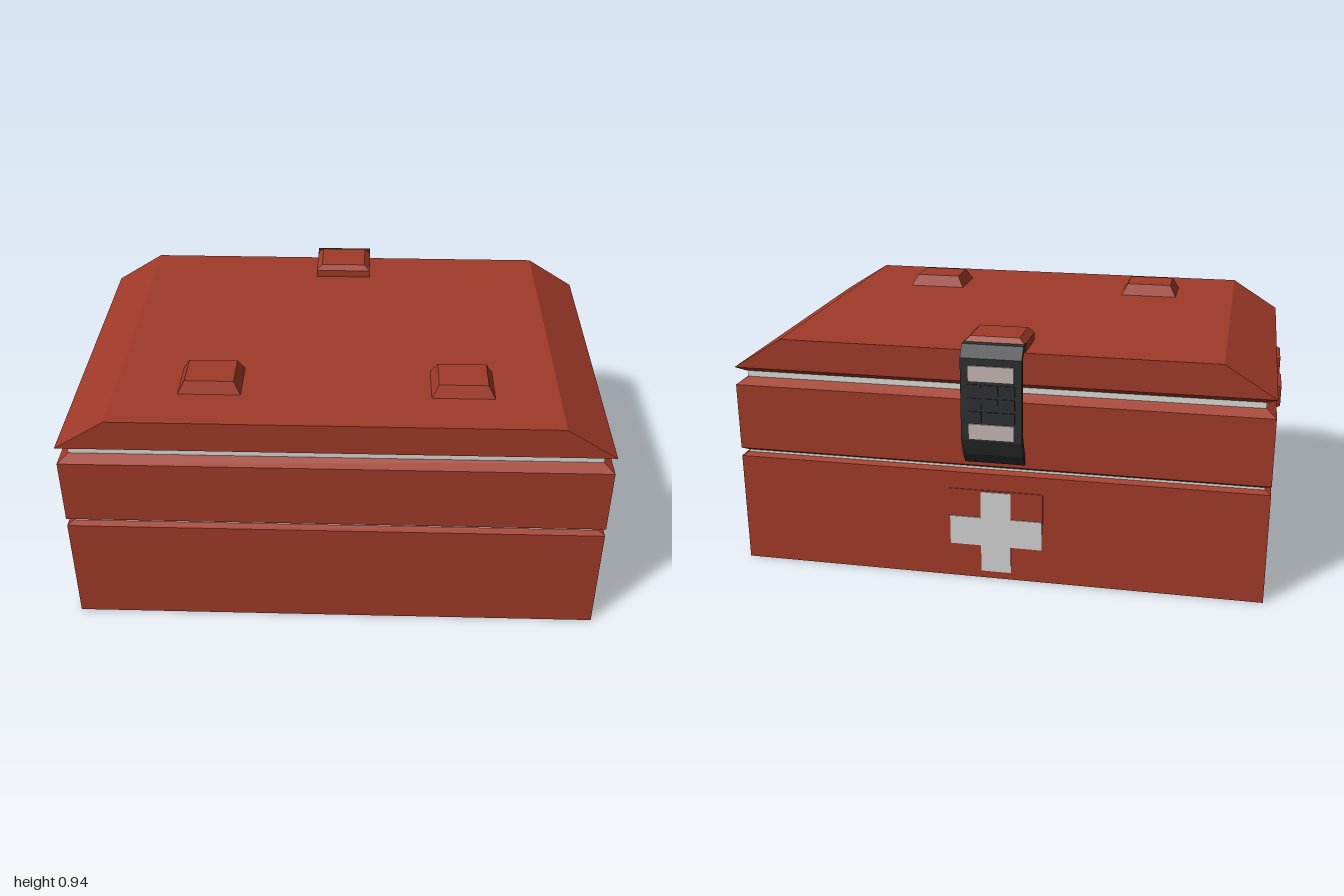
import * as THREE from 'three';

const mat = (name, color) => {
  const m = new THREE.MeshStandardMaterial({ color });
  m.name = name;
  return m;
};

// Closed solid from stacked rectangles: [y, x0, x1, z0, z1] from bottom to top
function stack(levels) {
  const rings = levels.map(([y, x0, x1, z0, z1]) => [[x0, y, z1], [x1, y, z1], [x1, y, z0], [x0, y, z0]]);
  const pos = [];
  const quad = (a, b, c, d) => pos.push(...a, ...b, ...c, ...a, ...c, ...d);
  for (let i = 0; i + 1 < rings.length; i++) {
    for (let k = 0; k < 4; k++) {
      const n = (k + 1) % 4;
      quad(rings[i][k], rings[i][n], rings[i + 1][n], rings[i + 1][k]);
    }
  }
  const [a, b, c, d] = rings[0];
  quad(d, c, b, a);
  quad(...rings[rings.length - 1]);
  const g = new THREE.BufferGeometry();
  g.setAttribute('position', new THREE.Float32BufferAttribute(pos, 3));
  g.computeVertexNormals();
  return g;
}

// One level of the case, inset from its outer walls
const X = 0.98, BACK = -0.6, FRONT = 0.665;
const level = (y, inset = 0, hx = X) => [y, -hx + inset, hx - inset, BACK + inset, FRONT - inset];

export function createModel() {
  const red = mat('caseRed', 0xa03a28);
  const white = mat('sealWhite', 0xdadad6);
  const crossWhite = mat('crossWhite', 0xd2d2d2);
  const black = mat('strapBlack', 0x2c2f30);
  const pink = mat('padGrey', 0xc4b6b4);

  const model = new THREE.Group();
  model.name = 'medicalCase';
  const add = (name, geo, material, x = 0, y = 0, z = 0, parent = model) => {
    const m = new THREE.Mesh(geo, material);
    m.name = name;
    m.position.set(x, y, z);
    parent.add(m);
    return m;
  };

  // Case sections with bevelled rims
  add('base', stack([level(0), level(0.42), level(0.43, 0.02)]), red);
  add('middleTray', stack([level(0.44, 0.02), level(0.452), level(0.702), level(0.726, 0.035)]), red);
  add('lid', stack([level(0.75, 0.03), level(0.77), [0.886, -0.795, 0.795, BACK, FRONT]]), red);

  // Seals between the sections
  add('lowerSeal', stack([level(0.425, 0.022), level(0.445, 0.022)]), white);
  add('upperSeal', stack([level(0.72, 0.036), level(0.755, 0.036)]), white);

  // Stacking feet on the lid
  const foot = stack([[0, -0.113, 0.113, -0.09, 0.09], [0.045, -0.088, 0.088, -0.07, 0.07]]);
  for (const s of [-1, 1]) add('lidFoot', foot, red, s * 0.452, 0.885, 0.393);

  // Grips on both sides
  const grip = stack([[0, -0.042, 0.042, -0.09, 0.09], [0.02, -0.037, 0.037, -0.078, 0.078]]);
  for (const s of [-1, 1]) {
    for (const z of [-0.148, 0.213]) {
      add('sideGrip', grip, red, s * X, 0.66, z).rotation.z = -s * Math.PI / 2;
    }
  }

  // Latch block on the lid
  add('latchBlock', stack([
    [0.885, -0.11, 0.11, -0.602, -0.425],
    [0.914, -0.11, 0.11, -0.602, -0.425],
    [0.935, -0.088, 0.088, -0.585, -0.44],
  ]), red);

  // Latch strap bent down over the back
  const latch = new THREE.Group();
  latch.name = 'latch';
  model.add(latch);
  const profile = [
    [0.58, 0.917], [0.628, 0.917], [0.66, 0.875], [0.66, 0.571], [0.637, 0.51], [0.608, 0.468],
    [0.601, 0.5], [0.638, 0.585], [0.638, 0.878], [0.622, 0.893], [0.58, 0.893],
  ];
  const strapShape = new THREE.Shape(profile.map(([u, v]) => new THREE.Vector2(u, v)));
  const strapGeo = new THREE.ExtrudeGeometry(strapShape, { depth: 0.22, bevelEnabled: false });
  strapGeo.rotateY(Math.PI / 2).translate(-0.11, 0, 0);
  add('strap', strapGeo, black, 0, 0, 0, latch);

  // Grip studs and pale pads on the strap
  const stud = new THREE.BoxGeometry(0.05, 0.04, 0.006);
  for (let i = -1; i <= 1; i++) {
    for (let j = -1; j <= 1; j++) add('strapStud', stud, black, i * 0.06, 0.71 + j * 0.05, -0.661, latch);
  }
  const pad = new THREE.BoxGeometry(0.165, 0.058, 0.008);
  for (const y of [0.82, 0.605]) add('strapPad', pad, pink, 0, y, -0.661, latch);

  // Back plate carrying a cross
  const CY = 0.19;
  add('crossPlate', new THREE.BoxGeometry(0.35, 0.33, 0.006), red, 0, CY, BACK);
  const a = 0.056, w = 0.172, h = 0.16;
  const cross = new THREE.Shape([
    [-a, -h], [a, -h], [a, -a], [w, -a], [w, a], [a, a],
    [a, h], [-a, h], [-a, a], [-w, a], [-w, -a], [-a, -a],
  ].map(([u, v]) => new THREE.Vector2(u, v)));
  add('cross', new THREE.ExtrudeGeometry(cross, { depth: 0.006, bevelEnabled: false }), crossWhite, 0, CY, BACK - 0.006);

  return model;
}
